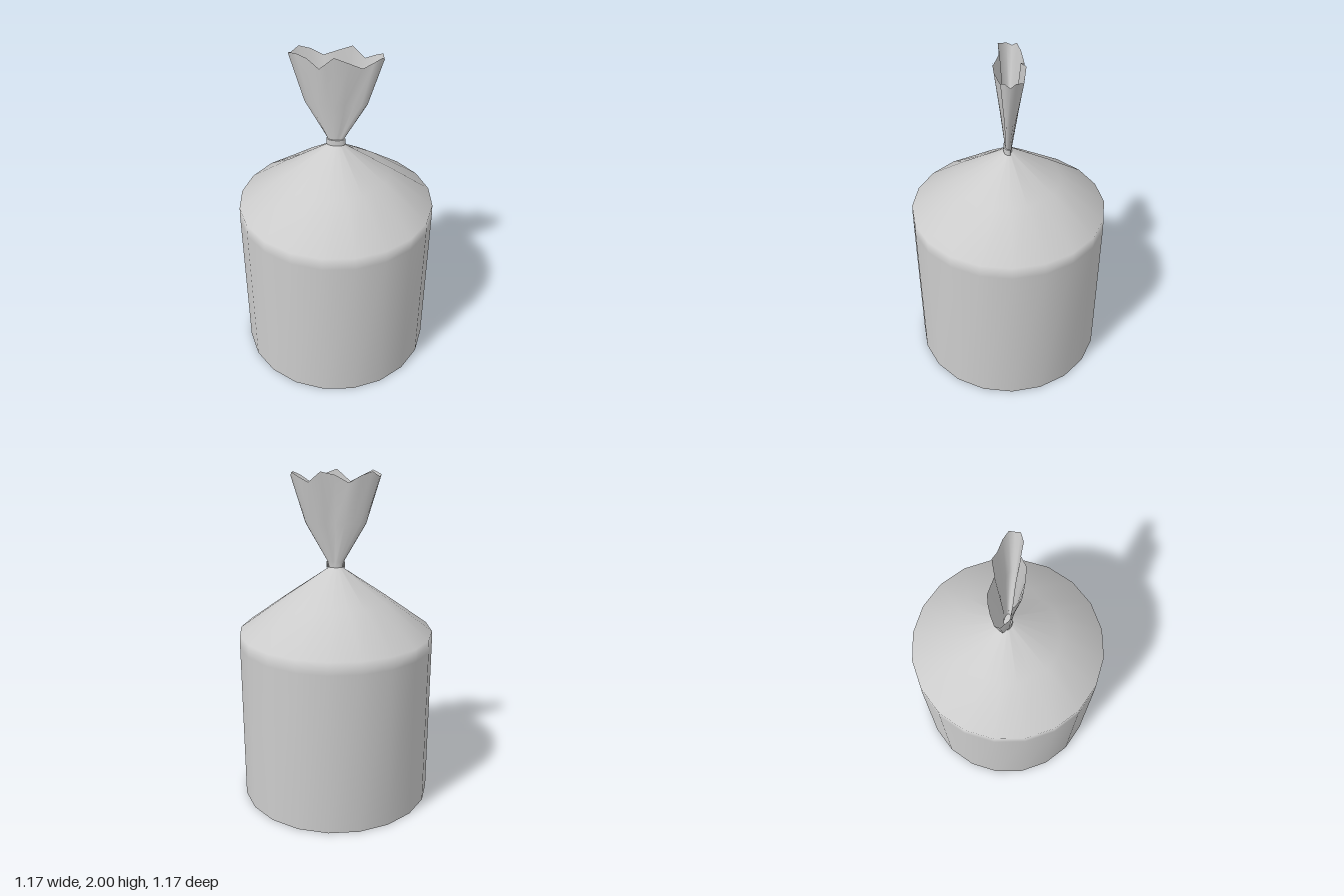
import * as THREE from 'three';

const SIDES = 20;
const material = new THREE.MeshStandardMaterial({ color: 0xcccccc, side: THREE.DoubleSide });

// Ring of points; angle runs from +x towards the front (+z)
function ring(y, rx, rz = rx, pleat = () => 1) {
  return Array.from({ length: SIDES }, (_, k) => {
    const a = (k / SIDES) * Math.PI * 2;
    return [Math.cos(a) * rx * pleat(k), y, Math.sin(a) * rz * pleat(k)];
  });
}

// Smooth skin through a stack of rings, listed from bottom to top
function loft(name, rings) {
  const index = [];
  for (let j = 0; j < rings.length - 1; j++) {
    for (let k = 0; k < SIDES; k++) {
      const n = (k + 1) % SIDES;
      const a = j * SIDES + k, b = j * SIDES + n;
      const c = a + SIDES, d = b + SIDES;
      index.push(a, c, b, b, c, d);
    }
  }
  const geometry = new THREE.BufferGeometry();
  geometry.setAttribute('position', new THREE.Float32BufferAttribute(rings.flat(2), 3));
  geometry.setIndex(index);
  geometry.computeVertexNormals();
  const mesh = new THREE.Mesh(geometry, material);
  mesh.name = name;
  return mesh;
}

// Torn, wavy upper edge of the bag
const rim = [
  [0.26, 1.97, 0], [0.25, 1.99, 0.03], [0.21, 1.97, 0.05], [0.15, 1.93, 0.045], [0.08, 1.97, 0.08],
  [0, 2.0, 0.088], [-0.04, 1.965, 0.085], [-0.08, 1.93, 0.08], [-0.15, 1.97, 0.042], [-0.21, 2.0, 0.05],
  [-0.26, 1.98, 0], [-0.25, 1.97, -0.03], [-0.21, 2.0, -0.055], [-0.15, 1.98, -0.075], [-0.08, 1.94, -0.09],
  [0, 1.98, -0.065], [0.08, 2.0, -0.09], [0.15, 1.94, -0.075], [0.21, 1.97, -0.055], [0.25, 1.99, -0.03],
];

export function createModel() {
  const group = new THREE.Group();
  group.name = 'tiedBag';

  // Round body with a pleated shoulder gathered into the neck
  const folds = [2, 8, 12, 18];
  const pleat = (k) => (folds.includes(k) ? 0.93 : 1);
  group.add(loft('body', [
    ring(0, 0.585),
    ring(0.98, 0.585),
    ring(1.055, 0.583),
    ring(1.25, 0.315, 0.31, pleat),
    ring(1.44, 0.04, 0.02),
  ]));

  // Turned-in lip around the open bottom
  group.add(loft('bottomLip', [ring(0.014, 0.56), ring(0, 0.585)]));

  // Flattened, flaring frill above the neck
  const middle = rim.map(([x, , z]) => [x * 0.68, 1.7, z * 0.55]);
  group.add(loft('frill', [
    ring(1.44, 0.04, 0.02),
    ring(1.475, 0.048, 0.021),
    middle,
    rim,
  ]));

  // Closed centre of the neck
  const plug = new THREE.Mesh(new THREE.CircleGeometry(1, SIDES).rotateX(-Math.PI / 2), material);
  plug.name = 'neckPlug';
  plug.scale.set(0.04, 1, 0.02);
  plug.position.y = 1.445;
  group.add(plug);

  // Tie strip wrapped around the front of the neck
  const start = -0.3, end = Math.PI + 0.3;
  const strip = new THREE.Shape();
  strip.absellipse(0, 0, 0.055, 0.029, start, end, false);
  strip.absellipse(0, 0, 0.047, 0.021, end, start, true);
  const tieGeometry = new THREE.ExtrudeGeometry(strip, { depth: 0.035, bevelEnabled: false, curveSegments: 8 });
  tieGeometry.rotateX(Math.PI / 2);
  const tie = new THREE.Mesh(tieGeometry, material);
  tie.name = 'tie';
  tie.position.y = 1.473;
  group.add(tie);

  return group;
}
